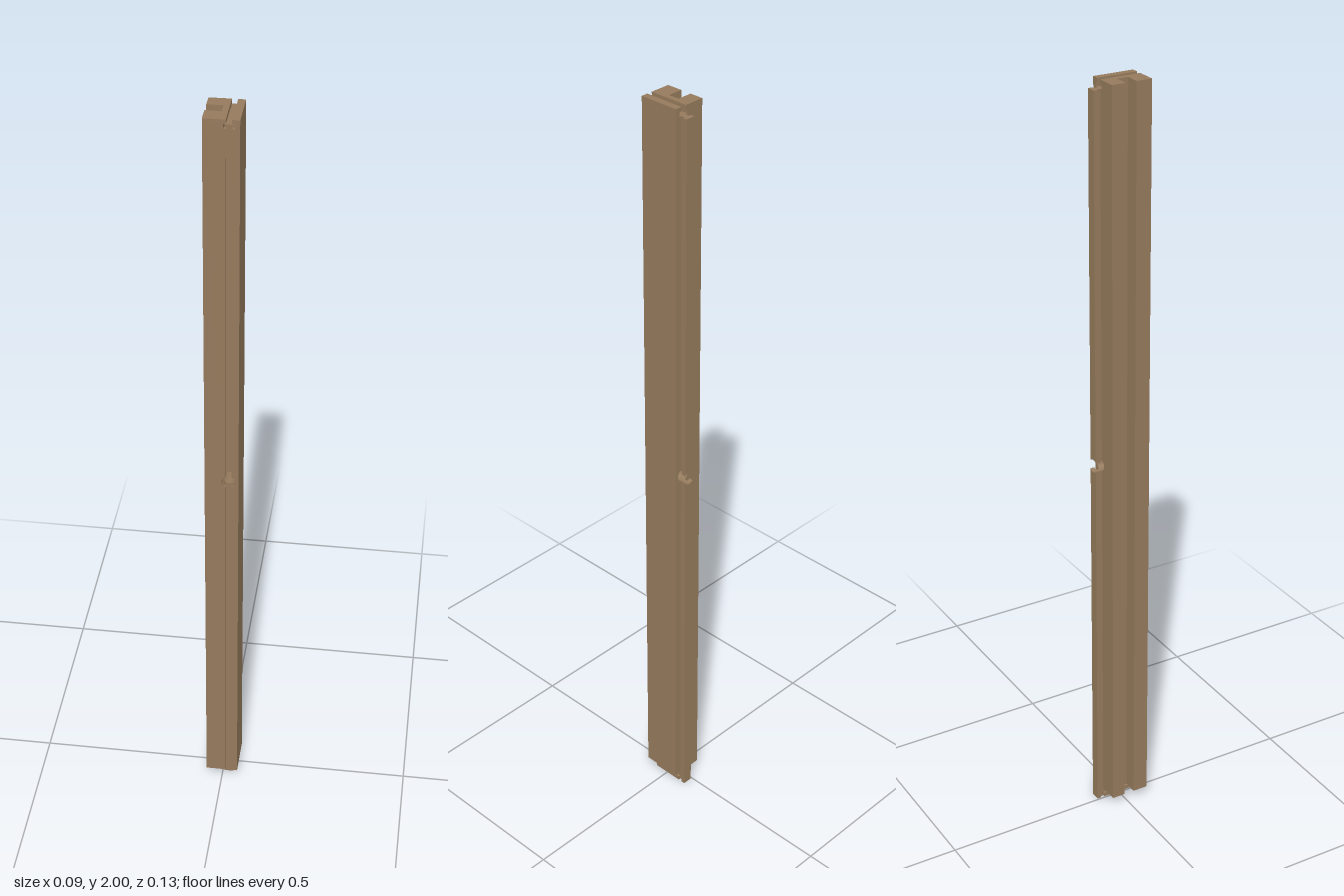
import * as THREE from 'three';

const XL = -0.043, XR = 0.042, TOP = 2, BOTTOM = 0.024; // post outline
const CX = 0.017, WIDE = 0.013, NARROW = 0.007;         // T-joint centre and half widths
const FLOOR = 1.978, LEDGE = 1.989, HEAD = 0.011;       // top groove and bottom tongue levels
const CY = 1.014, R = 0.0175;                           // cross hole

const wood = new THREE.MeshStandardMaterial({ color: 0x957a5c });
wood.name = 'brown wood';

// Points on the rim of the cross hole
function rim(from, to, steps = 16) {
  return Array.from({ length: steps + 1 }, (_, i) => {
    const t = from + (to - from) * i / steps;
    return [CX + R * Math.cos(t), CY + R * Math.sin(t)];
  });
}

const toShape = (points) => new THREE.Shape(points.map(([x, y]) => new THREE.Vector2(x, y)));

// Solid core slice: T tongue below, T groove above, round hole through it
function coreShape(xl) {
  const half = [[NARROW, BOTTOM], [NARROW, HEAD], [WIDE, HEAD], [WIDE, 0]];
  const groove = [[NARROW, TOP], [NARROW, LEDGE], [WIDE, LEDGE], [WIDE, FLOOR]];
  const left = ([d, y]) => [CX - d, y], right = ([d, y]) => [CX + d, y];
  const shape = toShape([
    [xl, BOTTOM], ...half.map(left), ...[...half].reverse().map(right), [XR, BOTTOM],
    [XR, TOP], ...groove.map(right), ...[...groove].reverse().map(left), [xl, TOP],
  ]);
  const hole = new THREE.Path();
  hole.absarc(CX, CY, R, 0, Math.PI * 2, true);
  shape.holes.push(hole);
  return shape;
}

// Two lengths of tongue, interrupted by the hole
function tongueShapes(hw) {
  const a = Math.acos(hw / R);
  return [
    toShape([[CX - hw, 0], [CX + hw, 0], ...rim(-a, a - Math.PI)]),
    toShape([[CX + hw, FLOOR], [CX - hw, FLOOR], ...rim(Math.PI - a, a)]),
  ];
}

// Strips either side of the front slot, bitten by the hole and the top groove
function slotShapes(hw) {
  const a = Math.acos(hw / R);
  const step = hw < WIDE
    ? [[hw, TOP], [hw, LEDGE], [WIDE, LEDGE], [WIDE, FLOOR], [hw, FLOOR]]
    : [[NARROW, TOP], [NARROW, LEDGE], [hw, LEDGE]];
  return [
    toShape([[XR, BOTTOM], [XR, TOP], ...step.map(([d, y]) => [CX + d, y]),
      ...rim(a, -a), [CX + hw, BOTTOM]]),
    toShape([[XL, TOP], [XL, BOTTOM], [CX - hw, BOTTOM], ...rim(Math.PI + a, Math.PI - a),
      ...[...step].reverse().map(([d, y]) => [CX - d, y])]),
  ];
}

export function createModel() {
  const model = new THREE.Group();
  model.name = 'joint post';

  // Each part is a slice of the post between two depths
  function slice(name, shapes, z0, z1) {
    const geometry = new THREE.ExtrudeGeometry(shapes, {
      depth: z1 - z0, bevelEnabled: false, curveSegments: 32,
    });
    geometry.translate(0, 0, z0);
    const mesh = new THREE.Mesh(geometry, wood);
    mesh.name = name;
    model.add(mesh);
  }

  slice('backTongueHead', tongueShapes(WIDE), -0.065, -0.054);
  slice('backTongueStem', tongueShapes(NARROW), -0.054, -0.044);
  slice('backFlange', coreShape(XL), -0.044, -0.008);
  slice('web', coreShape(-0.004), -0.008, 0.021);
  slice('frontFlange', coreShape(XL), 0.021, 0.041);
  slice('frontSlotWalls', slotShapes(WIDE), 0.041, 0.054);
  slice('frontSlotLips', slotShapes(NARROW), 0.054, 0.062);
  return model;
}
